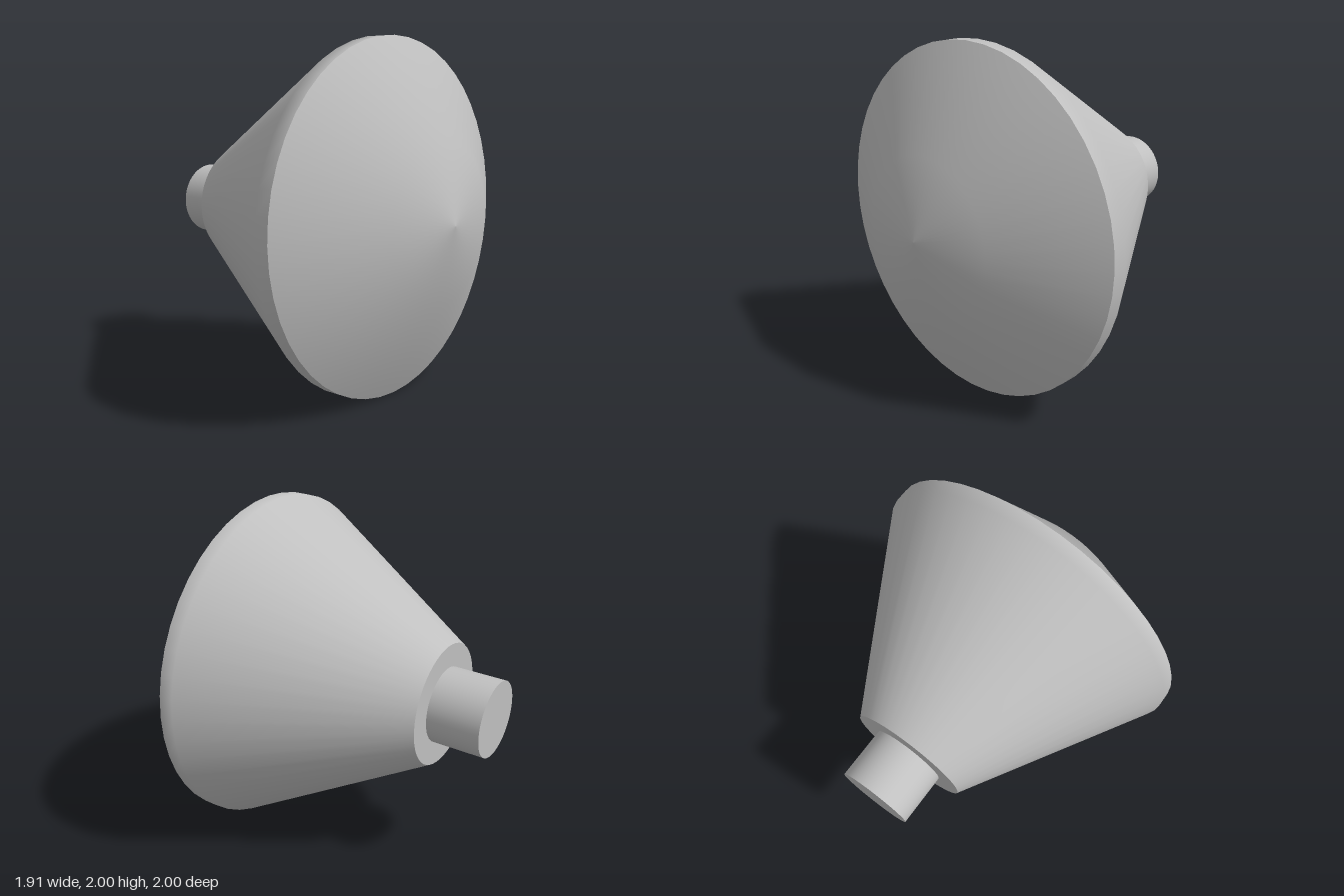
import * as THREE from 'three';

export function createModel() {
  const model = new THREE.Group();
  const grey = new THREE.MeshStandardMaterial({ color: 0xc0c0c0 });
  grey.name = 'light grey';

  // All parts are turned around one axis, measured from the rim centre
  const lamp = new THREE.Group();
  lamp.name = 'lamp';
  lamp.position.set(0.555, 1, 0);
  lamp.rotation.z = -Math.PI / 2 + 0.0145; // lies along x with a slight tilt
  model.add(lamp);

  // profile: [radius, distance along the axis], from back to front
  const turned = (name, profile) => {
    const points = profile.map(([r, y]) => new THREE.Vector2(r, y));
    const mesh = new THREE.Mesh(new THREE.LatheGeometry(points, 48), grey);
    mesh.name = name;
    lamp.add(mesh);
  };

  // Separate pieces keep the edges sharp where the profile turns a corner
  turned('stemEnd', [[0, -1.51], [0.22, -1.51]]);
  turned('stem', [[0.22, -1.51], [0.22, -1.2]]);
  turned('housingBack', [[0, -1.2], [0.355, -1.2]]);
  turned('housing', [[0.355, -1.2], [1, -0.085], [1, 0]]);
  turned('lens', [[1, 0], [0.445, 0.312], [0, 0.397]]);

  return model;
}
